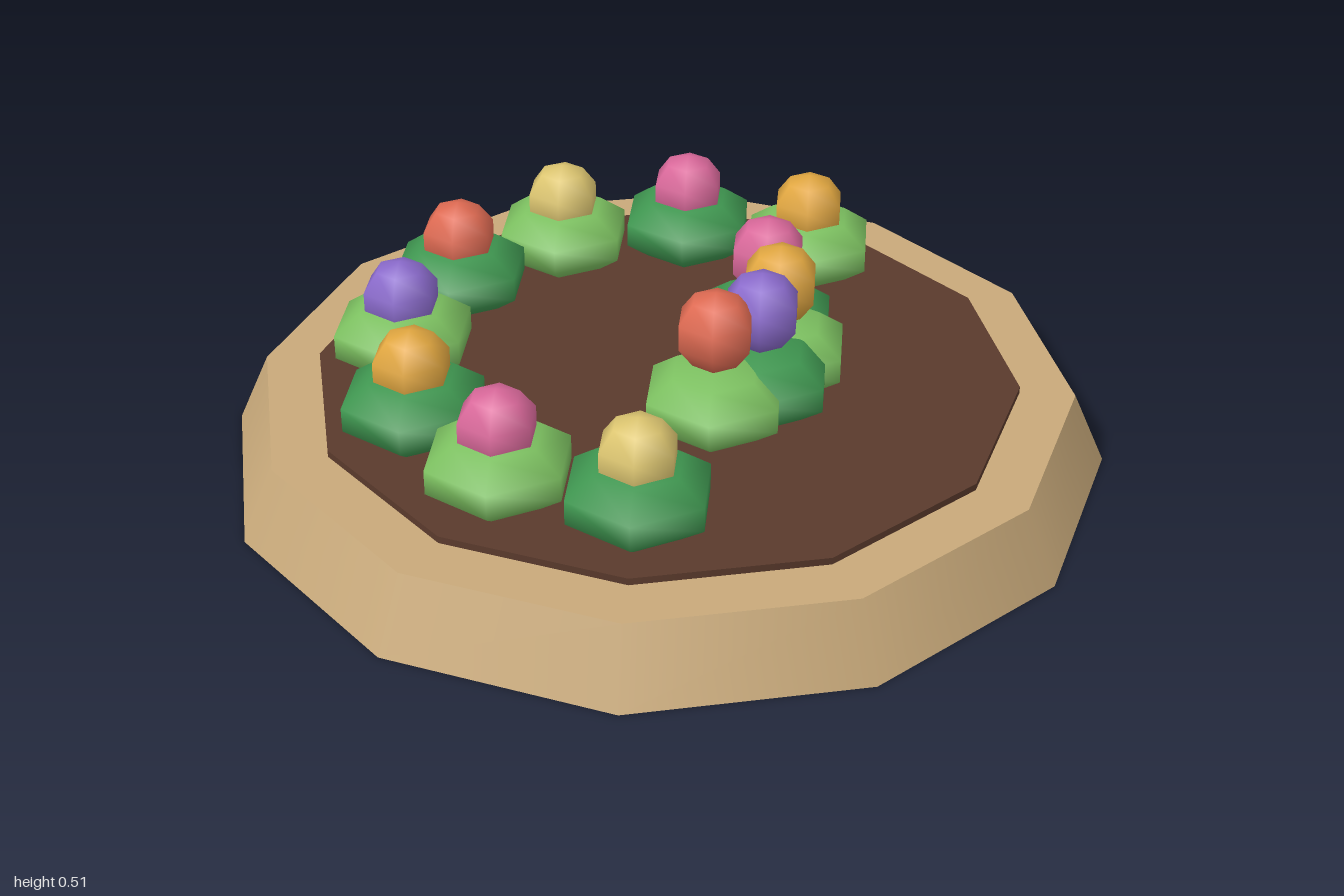
import * as THREE from 'three';

const mat = (name, color) => {
  const m = new THREE.MeshStandardMaterial({ color });
  m.name = name;
  return m;
};

export function createModel() {
  const group = new THREE.Group();
  const add = (name, geometry, material, x, y, z) => {
    const mesh = new THREE.Mesh(geometry, material);
    mesh.name = name;
    mesh.position.set(x, y, z);
    group.add(mesh);
  };

  const stone = mat('tan stone', 0xc8a97a);
  const soil = mat('brown soil', 0x5a3a2c);
  const greens = [mat('dark green', 0x3f9650), mat('light green', 0x7cc060)];
  const blooms = [
    mat('pink', 0xd9689a), mat('orange', 0xe0a640), mat('purple', 0x8a6acb),
    mat('red', 0xde6a52), mat('cream', 0xdcc570),
  ];

  // Twelve-sided planter with a thin soil bed on top
  add('planter', new THREE.CylinderGeometry(0.925, 1, 0.165, 12), stone, 0, 0.0825, 0);
  add('soilBed', new THREE.CylinderGeometry(0.8, 0.8, 0.018, 12), soil, 0, 0.172, 0);

  // Plants every 30 degrees: four taller ones near the middle, eight around the edge
  const bush = new THREE.SphereGeometry(0.172, 6, 5).scale(1, 0.53, 1);
  const bloom = new THREE.SphereGeometry(0.092, 6, 5);
  for (let i = 0; i < 12; i++) {
    const inner = i < 4;
    const radius = inner ? 0.255 : 0.6;
    const angle = i * Math.PI / 6;
    const x = radius * Math.cos(angle), z = radius * Math.sin(angle);
    add('bush' + i, bush, greens[i % 2], x, 0.248, z);
    add('bloom' + i, bloom, blooms[i % 5], x, inner ? 0.42 : 0.34, z);
  }
  return group;
}
